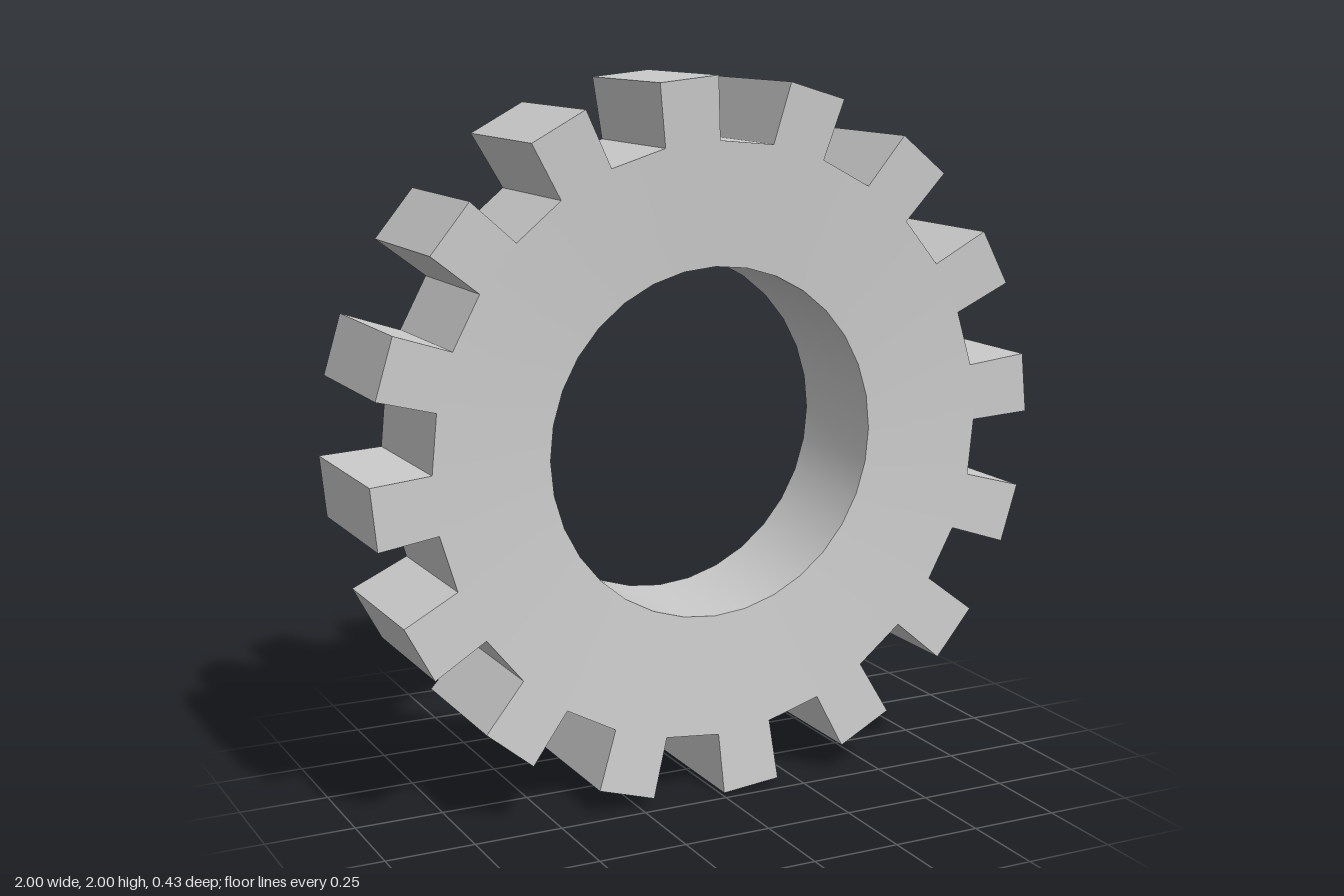
import * as THREE from 'three';
import { toCreasedNormals } from 'three/addons/utils/BufferGeometryUtils.js';

const SIDES = 32;              // every second side carries a tooth
const STEP = (Math.PI * 2) / SIDES;
const BORE = { r: 0.489, z: 0.178 };
const ROOT = { r: 0.828, z: 0.203 };
const TIP = { r: 1.0, z: 0.216 };
const TIP_INSET = STEP / 2 - THREE.MathUtils.degToRad(4.93);

// Point on a circle of the gear; side is +1 for front, -1 for back
const at = (ring, angle, side) => [ring.r * Math.cos(angle), ring.r * Math.sin(angle), ring.z * side];

// Mesh from a list of four-cornered faces, corners counter-clockwise from outside
function quadMesh(name, quads, material) {
  const positions = quads.flatMap(([a, b, c, d]) => [a, b, c, a, c, d]).flat();
  const geometry = new THREE.BufferGeometry();
  geometry.setAttribute('position', new THREE.Float32BufferAttribute(positions, 3));
  const mesh = new THREE.Mesh(toCreasedNormals(geometry, 0.35), material);
  mesh.name = name;
  return mesh;
}

// Front and back faces between two circles
function cheeks(inner, outer, a0, a1, t0, t1) {
  const front = [at(inner, a0, 1), at(outer, t0, 1), at(outer, t1, 1), at(inner, a1, 1)];
  const back = [at(inner, a1, -1), at(outer, t1, -1), at(outer, t0, -1), at(inner, a0, -1)];
  return [front, back];
}

// Outward facing band across the thickness
const band = (ring, a0, a1) => [at(ring, a0, -1), at(ring, a1, -1), at(ring, a1, 1), at(ring, a0, 1)];

export function createModel() {
  const gear = new THREE.Group();
  gear.name = 'gear';
  const material = new THREE.MeshStandardMaterial({ color: 0xcccccc });

  const ringFaces = [];
  const teeth = new THREE.Group();
  teeth.name = 'teeth';

  for (let i = 0; i < SIDES; i++) {
    const a0 = i * STEP, a1 = a0 + STEP;

    // Dished ring with its bore
    ringFaces.push(...cheeks(BORE, ROOT, a0, a1, a0, a1));
    ringFaces.push(band(BORE, a0, a1).reverse());

    if (i % 2) {
      // Gap between teeth
      ringFaces.push(band(ROOT, a0, a1));
    } else {
      // Tooth, flaring slightly towards its tip
      const t0 = a0 + TIP_INSET, t1 = a1 - TIP_INSET;
      teeth.add(quadMesh('tooth', [
        ...cheeks(ROOT, TIP, a0, a1, t0, t1),
        band(TIP, t0, t1),
        [at(ROOT, a0, 1), at(ROOT, a0, -1), at(TIP, t0, -1), at(TIP, t0, 1)],
        [at(ROOT, a1, -1), at(ROOT, a1, 1), at(TIP, t1, 1), at(TIP, t1, -1)],
      ], material));
    }
  }

  gear.add(quadMesh('ring', ringFaces, material), teeth);
  gear.position.y = 1;

  const model = new THREE.Group();
  model.name = 'gearModel';
  model.add(gear);
  return model;
}
